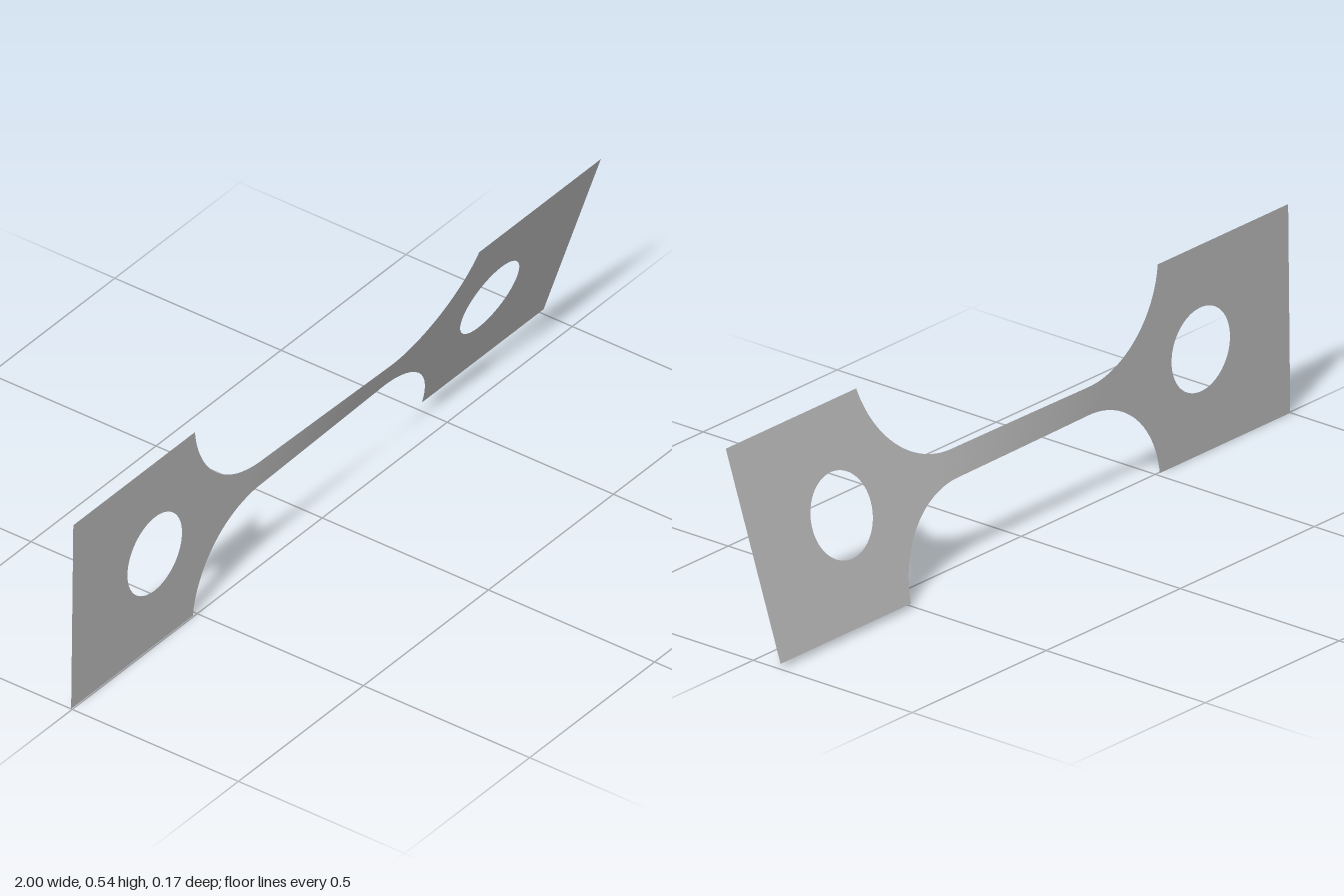
import * as THREE from 'three';
import { mergeVertices } from 'three/addons/utils/BufferGeometryUtils.js';

const HALF = 0.2715;      // half height of the grips, also the height of the axis
const NECK = 0.036;       // half height of the narrow gauge
const FILLET_R = 0.265, FILLET_X = 0.25;
const HOLE_X = 0.67, HOLE_R = 0.109;
const SHOULDER = FILLET_X + Math.sqrt(FILLET_R ** 2 - (NECK + FILLET_R - HALF) ** 2);

// Twist about the x axis, growing along the gauge
function twist(x) {
  const t = THREE.MathUtils.clamp((x + 0.3) / 0.6, 0, 1);
  return THREE.MathUtils.lerp(0.012, 0.323, t);
}

// Sheet from columns [x, inner, outer], mirrored above and below the axis
function sheet(columns) {
  const pos = [], index = [];
  for (const side of [1, -1]) {
    const base = pos.length / 3;
    columns.forEach(([x, inner, outer], i) => {
      const a = twist(x);
      for (const v of [inner * side, outer * side]) {
        pos.push(x, HALF + v * Math.cos(a), v * Math.sin(a));
      }
      if (i === 0) return;
      const p = base + 2 * i - 2;
      if (side > 0) index.push(p, p + 2, p + 3, p, p + 3, p + 1);
      else index.push(p, p + 3, p + 2, p, p + 1, p + 3);
    });
  }
  const g = new THREE.BufferGeometry();
  g.setAttribute('position', new THREE.Float32BufferAttribute(pos, 3));
  g.setIndex(index);
  const merged = mergeVertices(g, 1e-5);
  merged.computeVertexNormals();
  return merged;
}

// Square grip with a round hole
function gripColumns(sign) {
  const cols = [[SHOULDER, 0, HALF]];
  const n = 40;
  for (let i = 0; i <= n; i++) {
    const a = Math.PI * i / n;
    cols.push([HOLE_X - HOLE_R * Math.cos(a), HOLE_R * Math.sin(a), HALF]);
  }
  cols.push([1, 0, HALF]);
  return sign > 0 ? cols : cols.map(([x, i, o]) => [-x, i, o]).reverse();
}

// Narrow gauge with a curved fillet at both ends
function gaugeColumns() {
  const end = [], n = 28;
  const aMax = Math.asin(Math.min(1, (SHOULDER - FILLET_X) / FILLET_R));
  for (let i = 0; i <= n; i++) {
    const a = aMax * i / n;
    end.push([FILLET_X + FILLET_R * Math.sin(a), 0, NECK + FILLET_R * (1 - Math.cos(a))]);
  }
  const cols = end.map(([x, i, o]) => [-x, i, o]).reverse();
  for (let i = 1; i < 24; i++) cols.push([FILLET_X * (i / 12 - 1), 0, NECK]);
  return cols.concat(end);
}

export function createModel() {
  const metal = new THREE.MeshStandardMaterial({ color: 0xb2b2b2, side: THREE.DoubleSide });
  metal.name = 'grey metal';
  const group = new THREE.Group();
  group.name = 'twistedTestStrip';
  const parts = { rightGrip: gripColumns(-1), gauge: gaugeColumns(), leftGrip: gripColumns(1) };
  for (const [name, columns] of Object.entries(parts)) {
    const mesh = new THREE.Mesh(sheet(columns), metal);
    mesh.name = name;
    group.add(mesh);
  }
  return group;
}
